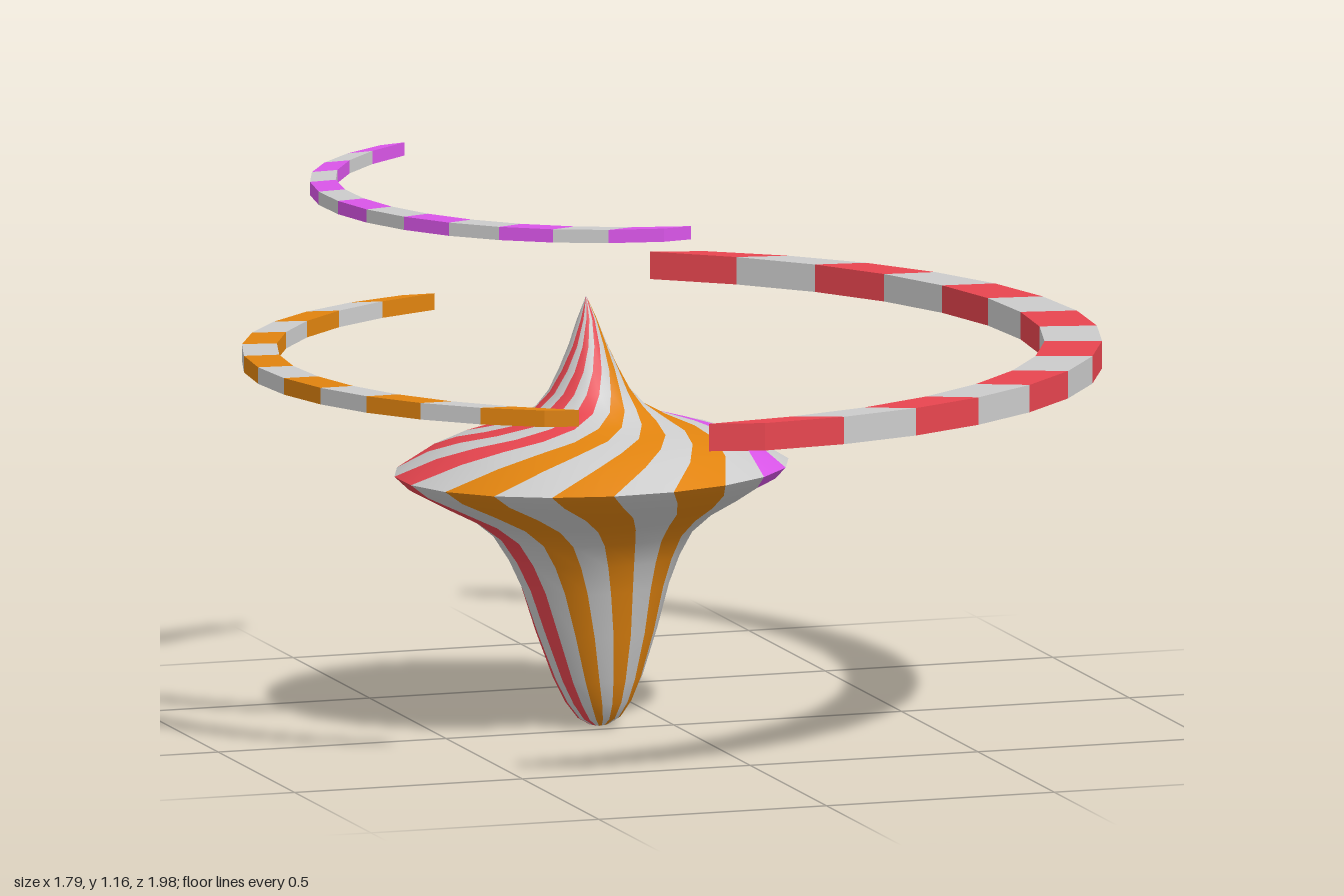
import * as THREE from 'three';

const RED = 0xe8454f, ORANGE = 0xe0830f, MAGENTA = 0xd955e8, GREY = 0xcccccc;
const SIDES = 20;
const rad = THREE.MathUtils.degToRad;

function addMesh(parent, name, geometry, color) {
  const mesh = new THREE.Mesh(geometry, new THREE.MeshStandardMaterial({ color }));
  mesh.name = name;
  parent.add(mesh);
}

// Colour of each of the 20 slices: three stripes per colour, grey between, a wide grey gap at the end
function sliceColor(i) {
  if (i > 16 || i % 2) return GREY;
  return [MAGENTA, ORANGE, RED][Math.floor(i / 6)];
}

// Lathe-like shell whose rings are twisted; rings are [radius, height, twist in degrees], top to bottom
function twistedShell(parent, name, rings) {
  const pos = [];
  for (const [r, y, twist] of rings) {
    for (let i = 0; i < SIDES; i++) {
      const a = rad(-42 + twist + (i * 360) / SIDES);
      pos.push(r * Math.cos(a), y, r * Math.sin(a));
    }
  }
  const byColor = new Map();
  const all = [];
  for (let j = 0; j < rings.length - 1; j++) {
    for (let i = 0; i < SIDES; i++) {
      const k = (i + 1) % SIDES;
      const a = j * SIDES + i, b = j * SIDES + k, c = a + SIDES, d = b + SIDES;
      const faces = [a, b, c, b, d, c];
      const color = sliceColor(i);
      if (!byColor.has(color)) byColor.set(color, []);
      byColor.get(color).push(...faces);
      all.push(...faces);
    }
  }
  // Normals come from the whole shell so the stripes shade smoothly together
  const whole = new THREE.BufferGeometry();
  whole.setAttribute('position', new THREE.Float32BufferAttribute(pos, 3));
  whole.setIndex(all);
  whole.computeVertexNormals();
  const group = new THREE.Group();
  group.name = name;
  for (const [color, index] of byColor) {
    const part = whole.clone();
    part.setIndex(index);
    addMesh(group, color === GREY ? 'plainStripes' : 'colouredStripes', part, color);
  }
  parent.add(group);
}

// Striped crescent bar: the inner edge runs a little past the outer one and thins toward both ends
function crescent(name, { color, radius, width, from, to, trim, y0, y1, count }) {
  const group = new THREE.Group();
  group.name = name;
  const corner = (r, deg, y) => [r * Math.cos(rad(deg)), y, r * Math.sin(rad(deg))];
  const section = (t) => {
    const ai = THREE.MathUtils.lerp(from, to, t);
    const ao = THREE.MathUtils.lerp(from + trim, to - trim, t);
    const ri = radius - width * (0.2 + 0.8 * Math.pow(Math.sin(Math.PI * t), 0.8) || 0.2);
    return {
      ib: corner(ri, ai, y0), it: corner(ri, ai, y1),
      ob: corner(radius, ao, y0), ot: corner(radius, ao, y1),
    };
  };
  const stripes = [[], []];
  for (let i = 0; i < count; i++) {
    const s = section(i / count), e = section(Math.min((i + 1) / count, 0.99999));
    const out = stripes[i % 2];
    const quad = (a, b, c, d) => out.push(...a, ...b, ...c, ...a, ...c, ...d);
    quad(s.ob, s.ot, e.ot, e.ob);
    quad(e.ib, e.it, s.it, s.ib);
    quad(s.it, e.it, e.ot, s.ot);
    quad(s.ob, e.ob, e.ib, s.ib);
    if (i === 0) quad(s.ib, s.it, s.ot, s.ob);
    if (i === count - 1) quad(e.ob, e.ot, e.it, e.ib);
  }
  stripes.forEach((pos, n) => {
    const geometry = new THREE.BufferGeometry();
    geometry.setAttribute('position', new THREE.Float32BufferAttribute(pos, 3));
    geometry.computeVertexNormals();
    addMesh(group, n ? 'plainStripes' : 'colouredStripes', geometry, n ? GREY : color);
  });
  group.position.set(-0.15, 0, -0.05);
  return group;
}

export function createModel() {
  const model = new THREE.Group();
  model.name = 'spinningTop';

  // Body, leaning slightly as it spins
  const body = new THREE.Group();
  body.name = 'body';
  body.position.set(-0.15, 0, -0.04);
  body.rotation.set(-0.035, 0, 0.02);
  twistedShell(body, 'upperBody', [
    [0.001, 0.905, -130], [0.02, 0.86, -117], [0.04, 0.805, -104], [0.062, 0.755, -92],
    [0.085, 0.71, -80], [0.115, 0.675, -69], [0.16, 0.65, -54], [0.22, 0.632, -39],
    [0.28, 0.615, -25], [0.34, 0.59, -13], [0.413, 0.545, 0],
  ]);
  twistedShell(body, 'lowerBody', [
    [0.413, 0.545, 0], [0.385, 0.518, -3], [0.32, 0.482, -9], [0.255, 0.447, -14],
    [0.21, 0.41, -18], [0.18, 0.36, -21], [0.155, 0.3, -24], [0.127, 0.205, -28],
    [0.093, 0.105, -32], [0.07, 0.055, -36], [0.045, 0.02, -40], [0.02, 0.005, -45], [0.001, 0.001, -50],
  ]);
  model.add(body);

  // Motion crescents around the body
  model.add(crescent('largeCrescent', {
    color: RED, radius: 1.05, width: 0.12, from: -65.4, to: 95.5, trim: 6.3, y0: 0.76, y1: 0.818, count: 15,
  }));
  model.add(crescent('mediumCrescent', {
    color: ORANGE, radius: 0.742, width: 0.075, from: 111.6, to: 260.7, trim: 5.5, y0: 0.763, y1: 0.798, count: 13,
  }));
  model.add(crescent('smallCrescent', {
    color: MAGENTA, radius: 0.6, width: 0.062, from: 89.3, to: 245.4, trim: 6, y0: 1.128, y1: 1.156, count: 13,
  }));
  return model;
}
